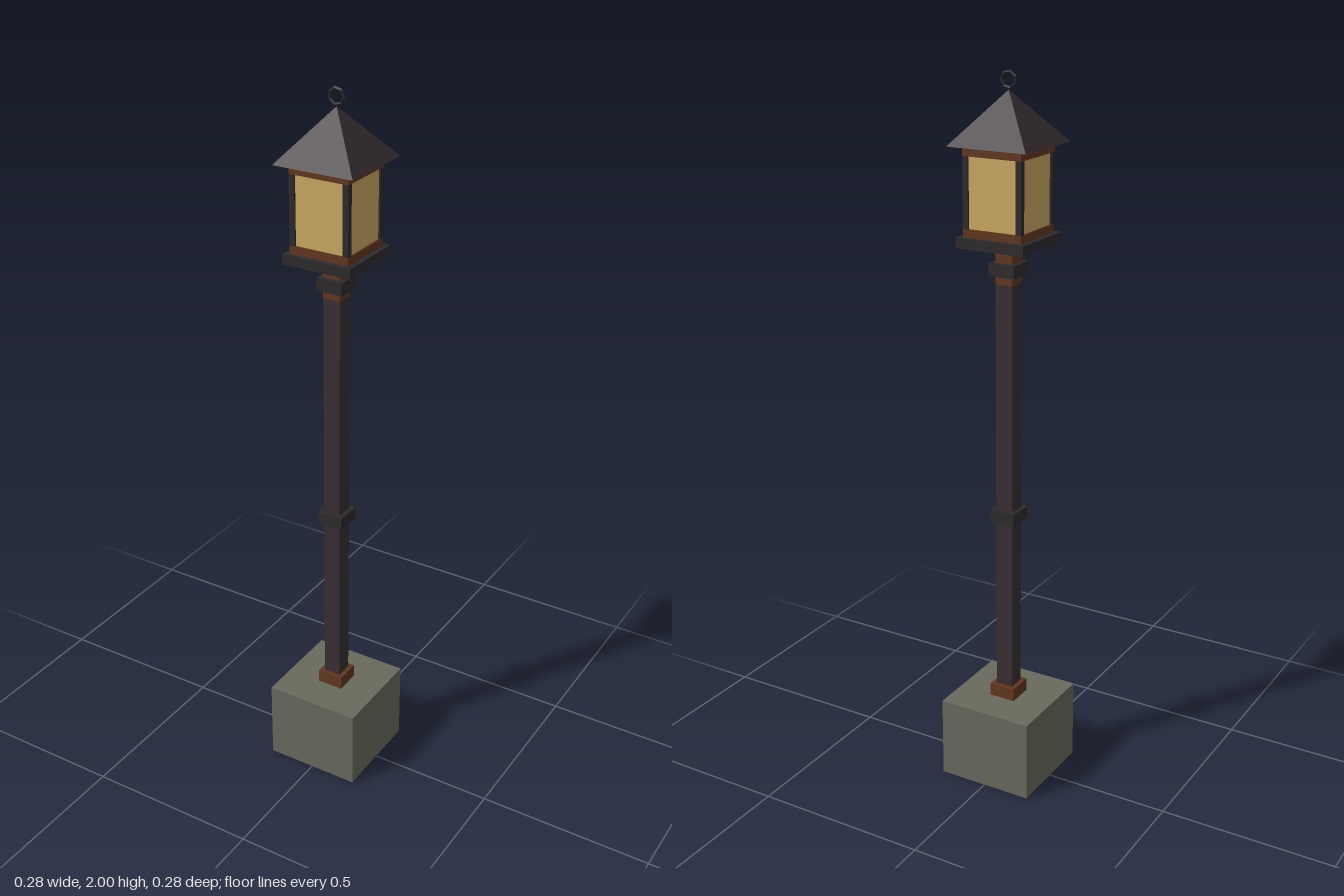
import * as THREE from 'three';

const mat = (name, color) => {
  const m = new THREE.MeshStandardMaterial({ color });
  m.name = name;
  return m;
};

export function createModel() {
  const stone = mat('stone', 0x686a5c);
  const iron = mat('dark iron', 0x372e30);
  const black = mat('black iron', 0x2d2a2c);
  const rust = mat('rusty metal', 0x62371f);
  const glass = mat('amber glass', 0xcaa862);

  const lamp = new THREE.Group();
  lamp.name = 'lampPost';

  const add = (name, geometry, material, x = 0, y = 0, z = 0) => {
    const mesh = new THREE.Mesh(geometry, material);
    mesh.name = name;
    mesh.position.set(x, y, z);
    lamp.add(mesh);
    return mesh;
  };
  // Square block centred on the axis, from y0 to y1
  const block = (name, half, y0, y1, material, x = 0, z = 0) =>
    add(name, new THREE.BoxGeometry(half * 2, y1 - y0, half * 2), material, x, (y0 + y1) / 2, z);

  // Foot and pole
  block('stoneBase', 0.139, 0, 0.235, stone);
  block('footCollar', 0.038, 0.235, 0.272, rust);
  block('pole', 0.025, 0.272, 1.452, iron);
  block('middleBand', 0.038, 0.78, 0.815, black);
  block('neck', 0.025, 1.452, 1.555, rust);
  block('upperBand', 0.038, 1.475, 1.51, black);

  // Lantern
  block('lanternPlate', 0.1, 1.555, 1.582, black);
  block('lowerFrame', 0.086, 1.582, 1.604, rust);
  block('lanternGlass', 0.081, 1.604, 1.79, glass);
  block('upperFrame', 0.086, 1.79, 1.815, rust);
  for (const x of [-1, 1]) {
    for (const z of [-1, 1]) {
      block('cornerPost', 0.008, 1.604, 1.79, black, x * 0.078, z * 0.078);
    }
  }

  // Pyramid roof
  const roof = new THREE.ConeGeometry(0.115 * Math.SQRT2, 0.135, 4, 1).toNonIndexed();
  roof.rotateY(Math.PI / 4);
  roof.computeVertexNormals();
  add('roof', roof, iron, 0, 1.8825, 0);

  // Hanging ring
  const ring = new THREE.TorusGeometry(0.021, 0.0045, 4, 7).toNonIndexed();
  ring.computeVertexNormals();
  add('hangingRing', ring, black, 0, 1.9745, 0);

  return lamp;
}
